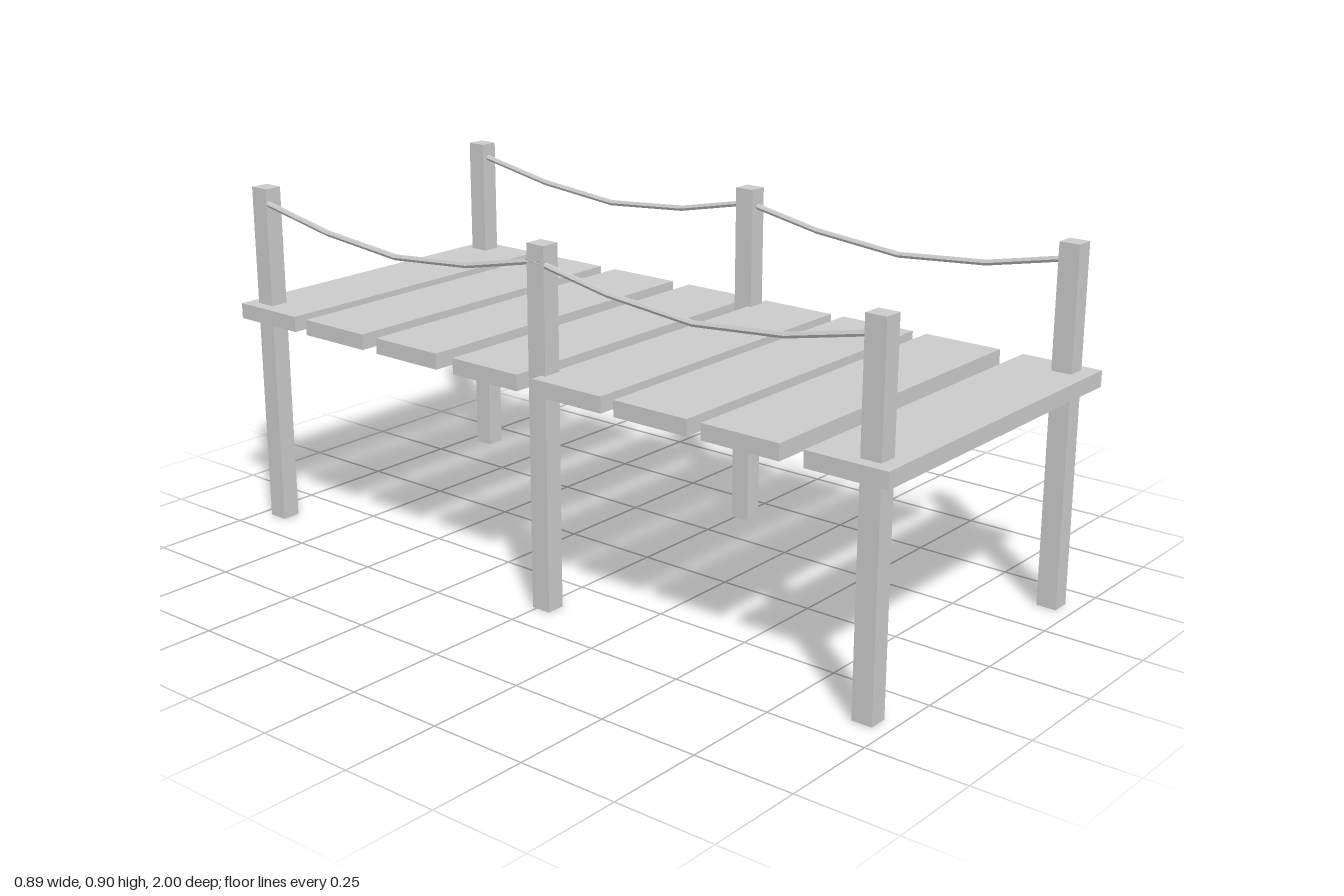
import * as THREE from 'three';

const material = new THREE.MeshStandardMaterial({ color: 0xcccccc, flatShading: true });

function addBox(parent, name, size, position) {
  const mesh = new THREE.Mesh(new THREE.BoxGeometry(...size), material);
  mesh.name = name;
  mesh.position.set(...position);
  parent.add(mesh);
}

export function createModel() {
  const dock = new THREE.Group();
  dock.name = 'dock';

  // Deck planks, slightly unevenly spaced
  const deck = new THREE.Group();
  deck.name = 'deck';
  dock.add(deck);
  [-0.896, -0.645, -0.387, -0.123, 0.133, 0.379, 0.626, 0.896].forEach((z) =>
    addBox(deck, 'plank', [0.895, 0.04, 0.208], [0, 0.57, z]));

  // Square posts: three along each side
  const posts = new THREE.Group();
  posts.name = 'posts';
  dock.add(posts);
  const postSpots = [
    [-0.392, 0.936], [-0.391, 0.015], [-0.392, -0.943],
    [0.395, 0.936], [0.394, 0.013], [0.397, -0.943],
  ];
  for (const [x, z] of postSpots) {
    addBox(posts, 'post', [0.048, 0.897, 0.052], [x, 0.4485, z]);
  }

  // Sagging ropes, one per bay on each side
  const ropes = new THREE.Group();
  ropes.name = 'ropes';
  dock.add(ropes);
  const sag = [0.861, 0.811, 0.792, 0.815, 0.861];
  for (const x of [-0.408, 0.393]) {
    for (const start of [0.95, 0.03]) {
      const points = sag.map((y, i) => new THREE.Vector3(x, y, start - i * 0.241));
      const curve = new THREE.CatmullRomCurve3(points);
      const rope = new THREE.Mesh(new THREE.TubeGeometry(curve, 4, 0.0075, 6), material);
      rope.name = 'rope';
      ropes.add(rope);
      // Rope end caps
      for (const t of [0, 1]) {
        const cap = new THREE.Mesh(new THREE.CircleGeometry(0.0075, 6), material);
        cap.name = 'ropeEnd';
        cap.position.copy(curve.getPoint(t));
        cap.lookAt(cap.position.clone().addScaledVector(curve.getTangent(t), t ? 1 : -1));
        ropes.add(cap);
      }
    }
  }

  return dock;
}
